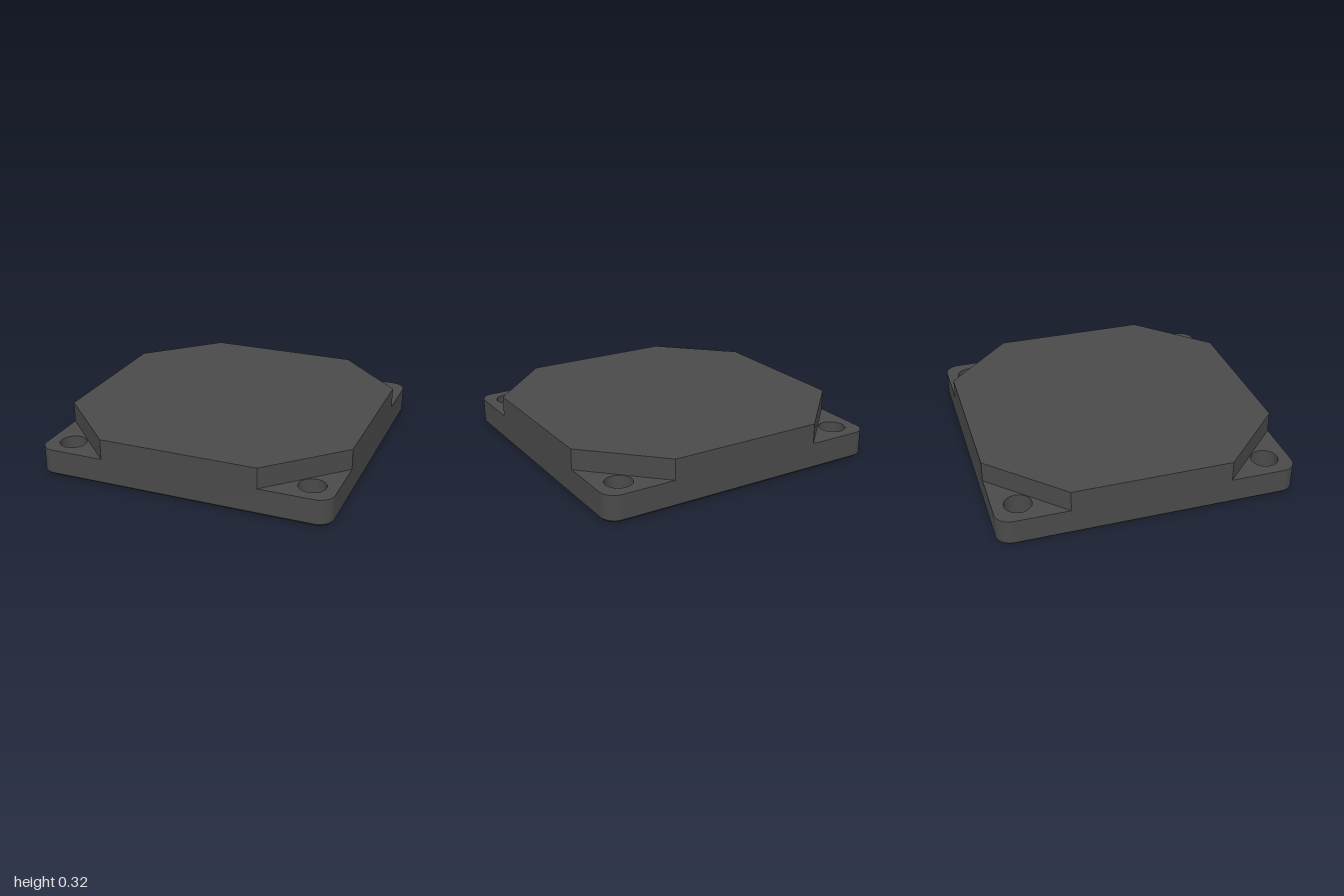
import * as THREE from 'three';
import { toCreasedNormals } from 'three/addons/utils/BufferGeometryUtils.js';

const BASE_H = 0.18, TOTAL_H = 0.32, CORNER_R = 0.1, BEVEL = 0.015;
const BOLT = { x: 0.835, z: 0.835, r: 0.09 };
const PIN = { x: 0.83, z: 0.525, r: 0.045, depth: 0.13 };
const SEG = 16;

const material = new THREE.MeshStandardMaterial({ color: 0x4a4a4a });
const corners = [[1, 1], [-1, 1], [-1, -1], [1, -1]];

// Rounded square outline, drawn counterclockwise and shrunk by the inset
function roundedSquare(inset) {
  const r = CORNER_R - inset, c = 1 - CORNER_R;
  const shape = new THREE.Shape();
  corners.forEach(([sx, sy], i) =>
    shape.absarc(sx * c, sy * c, r, i * Math.PI / 2, (i + 1) * Math.PI / 2, false));
  shape.closePath();
  return shape;
}

// Cuts one round opening per corner into a shape
function addHoles(shape, { x, z, r }, grow) {
  for (const [sx, sy] of corners) {
    shape.holes.push(new THREE.Path().absarc(sx * x, sy * z, r + grow, 0, Math.PI * 2, true));
  }
}

// Outer skin joining outlines given as [inset, y], bottom to top
function skin(levels) {
  const rings = levels.map(([inset, y]) =>
    roundedSquare(inset).getPoints(SEG / 2).map(p => [p.x, y, -p.y]));
  const pos = [];
  for (let k = 0; k + 1 < rings.length; k++) {
    const lo = rings[k], hi = rings[k + 1];
    for (let i = 0; i < lo.length; i++) {
      const j = (i + 1) % lo.length;
      pos.push(...lo[i], ...lo[j], ...hi[j], ...lo[i], ...hi[j], ...hi[i]);
    }
  }
  const geo = new THREE.BufferGeometry();
  geo.setAttribute('position', new THREE.Float32BufferAttribute(pos, 3));
  return toCreasedNormals(geo, 0.5);
}

export function createModel() {
  const model = new THREE.Group();
  const add = (name, geo, x = 0, y = 0, z = 0) => {
    const mesh = new THREE.Mesh(geo, material);
    mesh.name = name;
    mesh.position.set(x, y, z);
    model.add(mesh);
  };

  // Base plate: bevelled rim, underside and corner ledges
  add('baseRim', skin([[BEVEL, 0], [0, BEVEL], [0, BASE_H]]));

  const under = roundedSquare(BEVEL);
  addHoles(under, BOLT, BEVEL);
  addHoles(under, PIN, BEVEL / 2);
  add('baseUnderside', new THREE.ShapeGeometry(under, SEG).rotateX(Math.PI / 2));

  const ledge = roundedSquare(0);
  addHoles(ledge, BOLT, 0);
  add('baseTop', new THREE.ShapeGeometry(ledge, SEG).rotateX(-Math.PI / 2), 0, BASE_H, 0);

  // Hole linings, profiles running downward so the faces look inward
  const lining = points => toCreasedNormals(
    new THREE.LatheGeometry(points.map(p => new THREE.Vector2(...p)), SEG * 2), 0.5);
  const boltHole = lining([[BOLT.r, BASE_H], [BOLT.r, BEVEL], [BOLT.r + BEVEL, 0]]);
  const pinHole = lining([[0, PIN.depth], [PIN.r, PIN.depth],
    [PIN.r, BEVEL / 2], [PIN.r + BEVEL / 2, 0]]);
  for (const [sx, sz] of corners) {
    add('boltHole', boltHole, sx * BOLT.x, 0, sz * BOLT.z);
    add('pinHole', pinHole, sx * PIN.x, 0, sz * PIN.z);
  }

  // Raised block with its corners cut off
  const c = 0.535;
  const octagon = new THREE.Shape([[1, -c], [1, c], [c, 1], [-c, 1], [-1, c], [-1, -c], [-c, -1], [c, -1]]
    .map(p => new THREE.Vector2(...p)));
  const block = new THREE.ExtrudeGeometry(octagon, { depth: TOTAL_H - BASE_H, bevelEnabled: false });
  add('raisedBlock', block.rotateX(-Math.PI / 2), 0, BASE_H, 0);

  return model;
}
